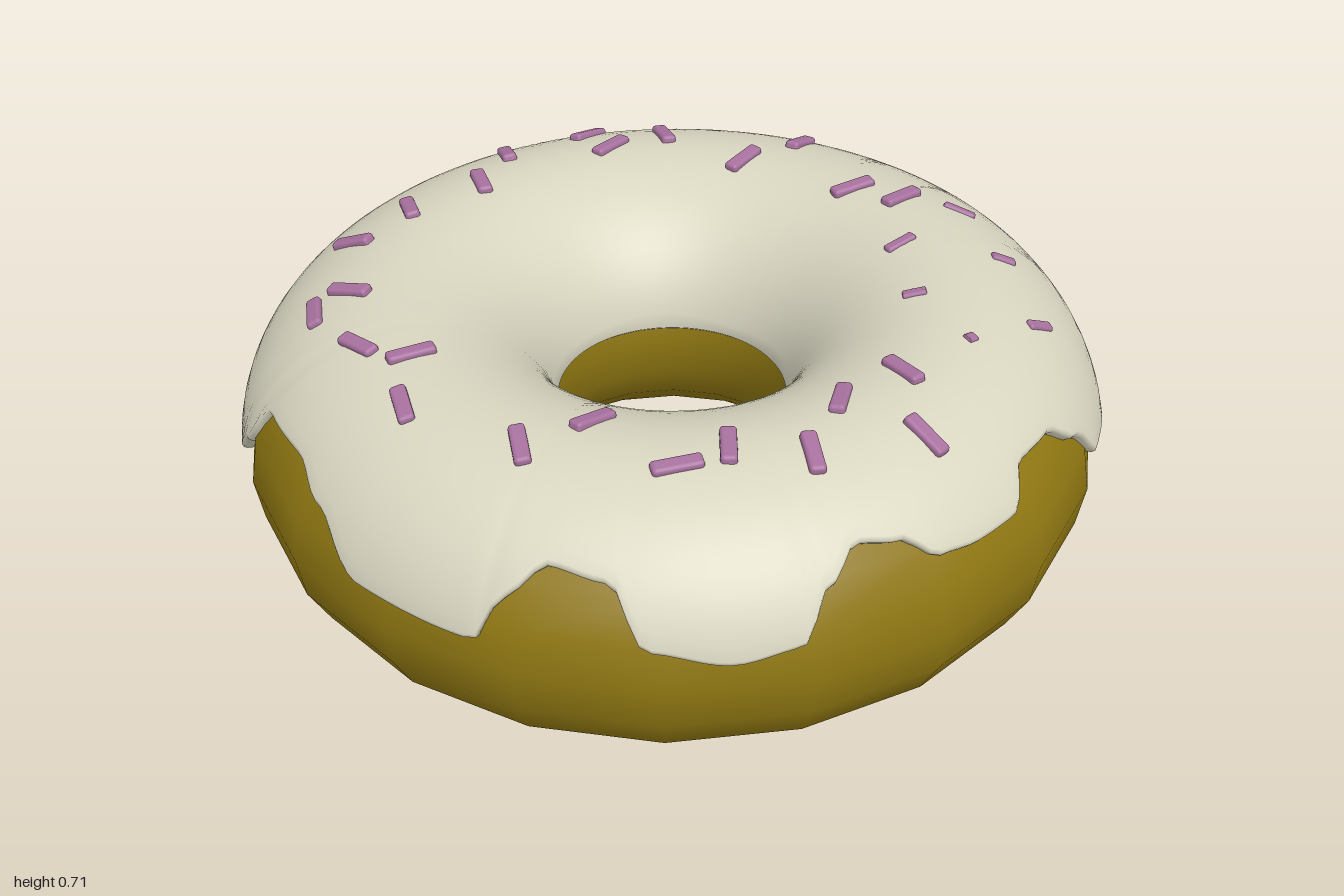
import * as THREE from 'three';
import { RoundedBoxGeometry } from 'three/addons/geometries/RoundedBoxGeometry.js';

const RING = 0.632, TUBE = 0.35, HALF = 0.33, THICK = 0.018;

// Height of the icing's lower edge: azimuth in degrees (0 = front, 90 = +x), y
const DRIPS = [
  [0, .51], [6, .5], [13, .5], [19, .565], [27, .56], [33, .5], [38, .41], [51, .38], [55, .29], [61, .275],
  [68, .285], [72, .36], [84, .39], [89, .41], [92, .48], [102, .5], [107, .575], [114, .585], [120, .57],
  [126, .5], [131, .45], [143, .39], [146, .29], [153, .27], [163, .3], [168, .38], [174, .5], [180, .56],
  [198, .56], [208, .52], [213, .42], [226, .4], [232, .34], [245, .34], [250, .42], [254, .53], [266, .54],
  [274, .5], [284, .41], [301, .4], [304, .5], [309, .565], [317, .55], [322, .43], [332, .4], [340, .42],
  [344, .52], [349, .575], [355, .56], [360, .51],
];

function edgeHeight(deg) {
  let k = 0;
  while (k < DRIPS.length - 2 && deg > DRIPS[k + 1][0]) k++;
  const [a0, y0] = DRIPS[k], [a1, y1] = DRIPS[k + 1];
  return THREE.MathUtils.lerp(y0, y1, THREE.MathUtils.smoothstep(deg, a0, a1));
}

// Point on the ring: azimuth a, tube angle t (0 = outside, PI = in the hole), offset d
function ringPoint(a, t, d) {
  const r = RING + (TUBE + d) * Math.cos(t);
  const swell = 0.018 * Math.exp(-(((a * 180 / Math.PI - 75) / 45) ** 2));
  const y = HALF + (HALF + d) * Math.sin(t) + swell * Math.max(0, Math.sin(t)) ** 2;
  return new THREE.Vector3(r * Math.sin(a), y, r * Math.cos(a));
}

function icingGeometry() {
  const around = 240, across = 28, pos = [], index = [];
  const tIn = Math.PI - 0.13;
  for (let i = 0; i < around; i++) {
    const a = i / around * Math.PI * 2;
    const e = edgeHeight(i / around * 360);
    const tOut = Math.asin((e - HALF) / (HALF + THICK));
    // rolled lips at both edges, smooth skin between
    const rows = [[tIn + 0.03, -0.02], [tIn + 0.02, THICK * 0.4]];
    for (let j = 0; j <= across; j++) rows.push([THREE.MathUtils.lerp(tIn, tOut + 0.035, j / across), THICK]);
    rows.push([tOut + 0.01, THICK * 0.75], [tOut, THICK * 0.3], [tOut + 0.005, -0.02]);
    for (const [t, d] of rows) pos.push(...ringPoint(a, t, d).toArray());
  }
  const n = across + 6;
  for (let i = 0; i < around; i++) {
    for (let j = 0; j < n - 1; j++) {
      const p = i * n + j, q = ((i + 1) % around) * n + j;
      index.push(p, p + 1, q, p + 1, q + 1, q);
    }
  }
  const g = new THREE.BufferGeometry();
  g.setAttribute('position', new THREE.Float32BufferAttribute(pos, 3));
  g.setIndex(index);
  g.computeVertexNormals();
  return g;
}

// Sprinkles: x, z, heading in degrees; the second list is mostly sunk, with visible length
const SPRINKLES = [
  [.02, -.75, 70], [.25, -.73, 20], [.24, -.61, 15], [.39, -.59, 70], [-.12, -.64, 72], [-.32, -.64, 72],
  [-.49, -.61, -60], [-.7, -.4, 65], [-.61, -.4, -60], [-.7, -.19, -78], [-.63, -.08, -10], [-.73, .06, 70],
  [-.61, .33, 65], [-.44, .34, 10], [-.39, .57, -20], [-.27, .58, 55], [-.14, .69, 65], [.02, .58, 42],
  [.19, .58, 90], [.1, .76, -82], [.47, -.36, 15], [.65, -.36, 25], [.59, -.08, -10], [.65, .03, 5],
];
const SUNK = [
  [.52, .18, -5, .08], [.75, .13, -50, .08], [.41, .36, -35, .055], [.69, .35, -30, .06],
  [.6, .57, -10, .075], [.39, .57, 0, .025],
];

export function createModel() {
  const material = (name, color) => {
    const m = new THREE.MeshStandardMaterial({ color });
    m.name = name;
    return m;
  };
  const doughMat = material('dough brown', 0x8f7712);
  const icingMat = material('cream icing', 0xd8d5c0);
  const sprinkleMat = material('purple sprinkle', 0xa8719f);
  icingMat.side = THREE.DoubleSide;

  const model = new THREE.Group();
  model.name = 'doughnut';
  const add = (name, geometry, mat, parent = model) => {
    const mesh = new THREE.Mesh(geometry, mat);
    mesh.name = name;
    parent.add(mesh);
    return mesh;
  };

  // Ring of dough
  const torus = new THREE.TorusGeometry(RING, TUBE, 20, 20);
  torus.rotateX(Math.PI / 2).scale(1, HALF / TUBE, 1).translate(-0.006, HALF, 0.004);
  add('dough', torus, doughMat);

  // Dripping icing
  add('icing', icingGeometry(), icingMat);

  // Sprinkles lie along the icing
  const sprinkles = new THREE.Group();
  sprinkles.name = 'sprinkles';
  model.add(sprinkles);
  const whole = new RoundedBoxGeometry(0.11, 0.03, 0.036, 2, 0.009);
  for (const [x, z, heading, length] of [...SPRINKLES, ...SUNK]) {
    const a = (Math.atan2(x, z) + Math.PI * 2) % (Math.PI * 2);
    const t = Math.acos((Math.hypot(x, z) - RING) / (TUBE + THICK));
    const up = new THREE.Vector3(Math.cos(t) * Math.sin(a), Math.sin(t), Math.cos(t) * Math.cos(a));
    const h = heading * Math.PI / 180;
    const along = new THREE.Vector3(Math.cos(h), 0, -Math.sin(h)).projectOnPlane(up).normalize();
    const side = new THREE.Vector3().crossVectors(along, up);
    const mesh = add('sprinkle', whole, sprinkleMat, sprinkles);
    mesh.quaternion.setFromRotationMatrix(new THREE.Matrix4().makeBasis(along, up, side));
    mesh.position.copy(ringPoint(a, t, THICK)).addScaledVector(up, length ? -0.008 : -0.002);
    if (length) mesh.scale.set(length / 0.11, 1, 0.75);
  }
  return model;
}
